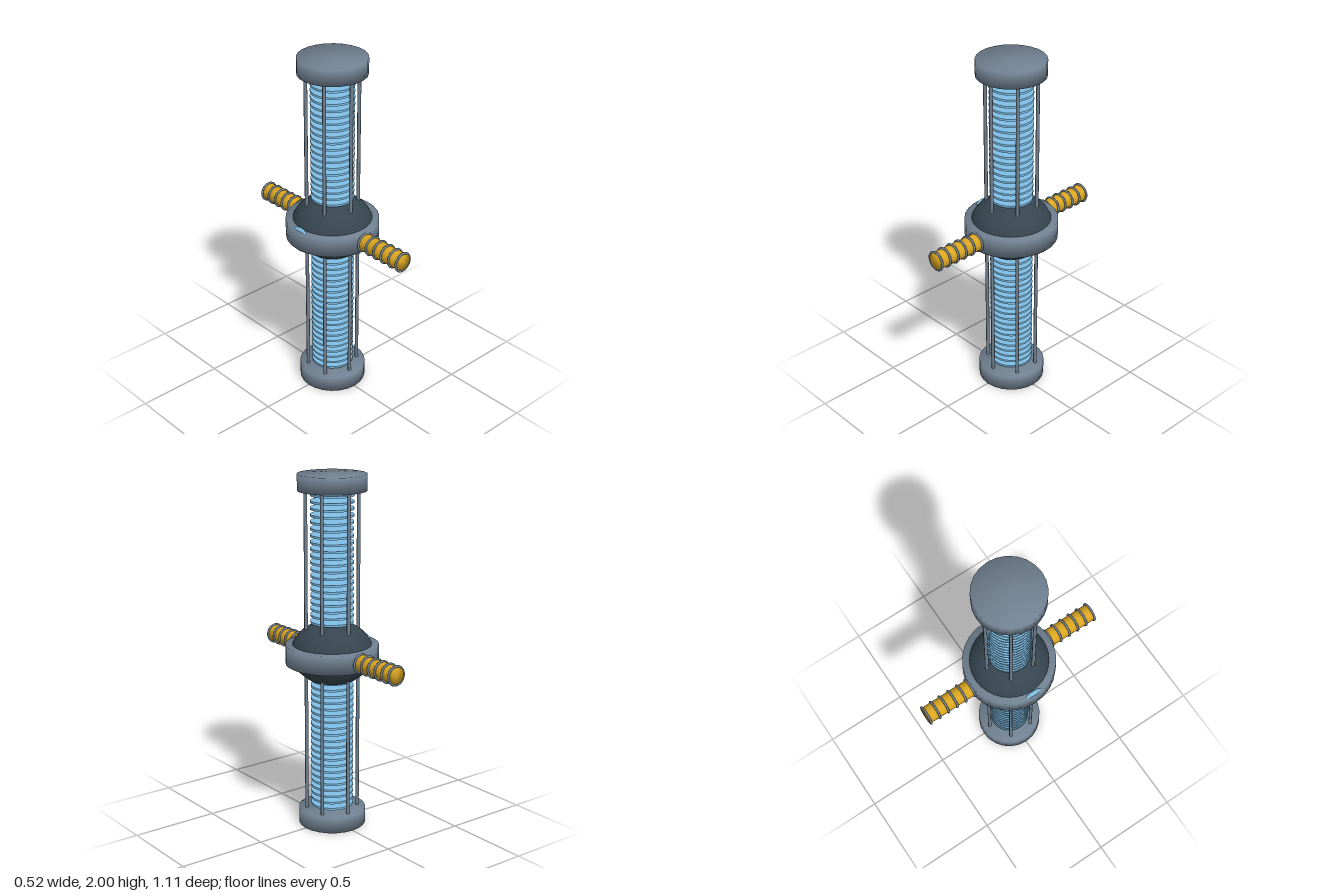
import * as THREE from 'three';
import { mergeVertices } from 'three/addons/utils/BufferGeometryUtils.js';

const MID = 1.0;

function material(name, color) {
  const m = new THREE.MeshStandardMaterial({ color });
  m.name = name;
  return m;
}

// Cylinder whose rim normals are shared between wall and caps
function softCylinder(radius, height, sides = 24) {
  let g = new THREE.CylinderGeometry(radius, radius, height, sides);
  g.deleteAttribute('normal');
  g.deleteAttribute('uv');
  g = mergeVertices(g, 1e-5);
  g.computeVertexNormals();
  return g;
}

export function createModel() {
  const group = new THREE.Group();
  const steel = material('slate grey', 0x708090);
  const charcoal = material('charcoal', 0x36454f);
  const blue = material('sky blue', 0x7fbfe6);
  const gold = material('golden yellow', 0xdaa520);

  const add = (name, geometry, mat, x, y, z) => {
    const mesh = new THREE.Mesh(geometry, mat);
    mesh.name = name;
    mesh.position.set(x, y, z);
    group.add(mesh);
    return mesh;
  };

  // End caps
  const cap = softCylinder(0.19, 0.09);
  add('bottomCap', cap, steel, 0, 0.045, 0);
  add('topCap', cap, steel, 0, 1.955, 0);

  // Stack of separate discs forming the core
  const disc = new THREE.CylinderGeometry(0.12, 0.12, 0.012, 24);
  const count = 49;
  for (let i = 0; i < count; i++) {
    const y = 0.116 + (i * 1.772) / (count - 1);
    if (Math.abs(y - MID) > 0.14) add('coreDisc', disc, blue, 0, y, 0);
  }

  // Six guard rods running between the caps
  const rod = new THREE.CylinderGeometry(0.01, 0.01, 1.86, 8);
  for (let i = 0; i < 6; i++) {
    const a = (i * Math.PI) / 3;
    add('guardRod', rod, steel, 0.145 * Math.sin(a), 1, 0.145 * Math.cos(a));
  }

  // Central flattened housing and its belt
  const housing = add('centralHousing', new THREE.SphereGeometry(0.23, 32, 20), charcoal, 0, 1.008, 0);
  housing.scale.y = 0.18 / 0.23;
  add('housingBelt', softCylinder(0.26, 0.11, 28), steel, 0, 1.003, 0);

  // Button lens set into the right side of the belt
  const lens = add('buttonLens', new THREE.SphereGeometry(0.074, 20, 14), blue, -0.237, 1.003, 0);
  lens.scale.x = 0.27;

  // Front and back grips with their ridges
  const grip = softCylinder(0.049, 0.33, 20);
  const ridge = new THREE.TorusGeometry(0.052, 0.0065, 8, 24);
  for (const side of [1, -1]) {
    const name = side > 0 ? 'front' : 'back';
    const handle = add(name + 'Grip', grip, gold, 0, 1.003, side * 0.385);
    handle.rotation.x = side * Math.PI / 2;
    for (let i = 0; i < 6; i++) {
      add(name + 'GripRidge', ridge, steel, 0, 1.003, side * (0.262 + i * 0.0568));
    }
  }

  return group;
}
